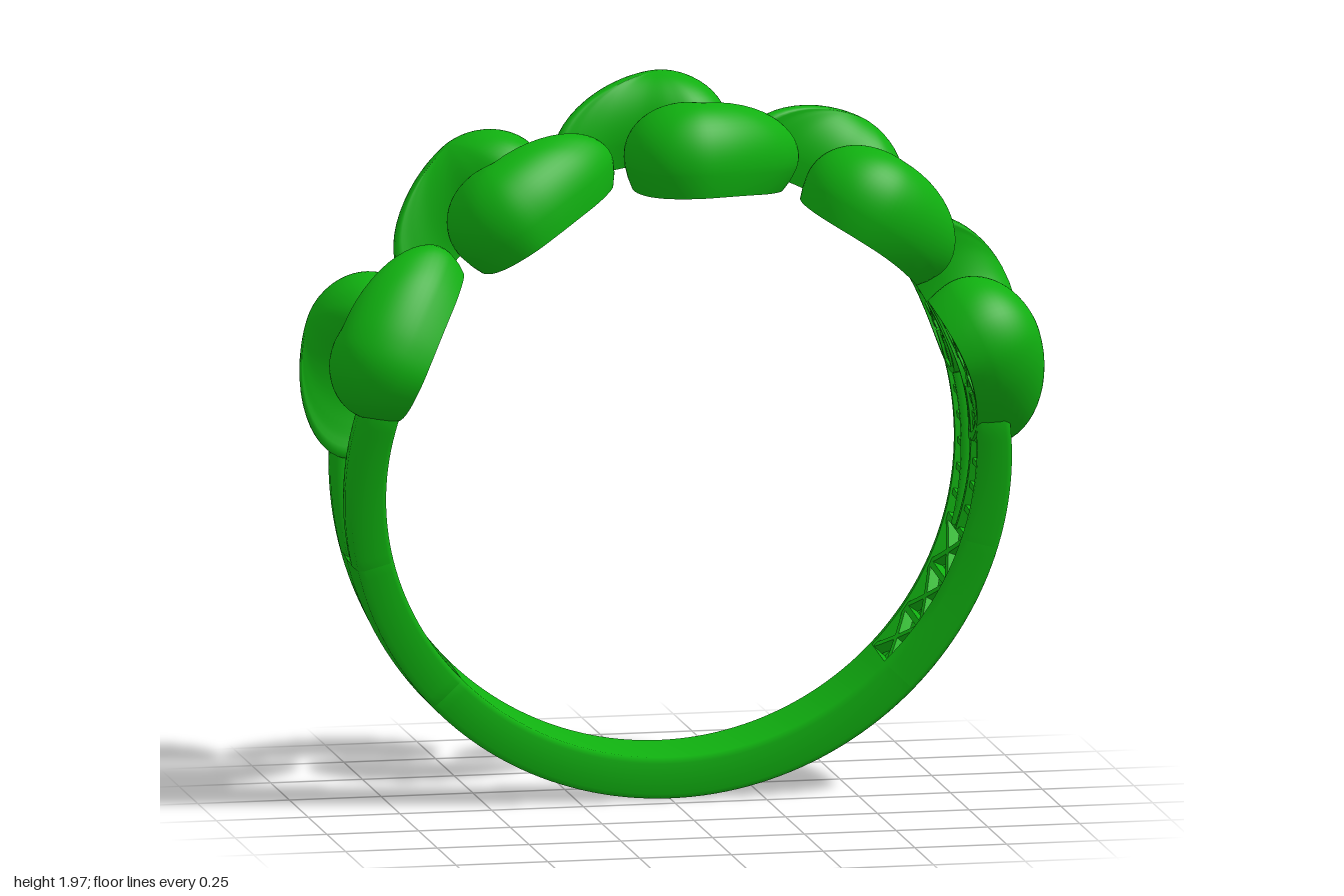
import * as THREE from 'three';

const INNER = 0.805;                       // finger radius
const CENTRE_Y = 0.93, TILT = 0.095;
const SPLIT = 1.3;                         // angle from the bottom where the band forks
const mat = new THREE.MeshStandardMaterial({ color: 0x10b010 });

// Ring coordinates: a = angle from the top, r = radius, w = across the band
const wrap = (a, r, w) => [r * Math.sin(a), r * Math.cos(a), w];
const outerRadius = a => 0.905 - 0.02 * Math.cos(a);
const halfWidth = a => {
  const t = Math.abs(Math.PI - a);
  return 0.098 + 0.02 * t ** 2 + 0.004 * t ** 4;
};
const halfGap = a => Math.min(0.07, 0.13 * Math.max(0, Math.PI - a - SPLIT));

function add(parent, name, geometry) {
  const mesh = new THREE.Mesh(geometry, mat);
  mesh.name = name;
  parent.add(mesh);
  return mesh;
}

// Skin a list of closed loops of [a, r, w]; repeated points or loops make sharp edges
function skin(loops, caps = false) {
  const n = loops[0].length, pos = [], idx = [];
  for (const loop of loops) for (const p of loop) pos.push(...wrap(...p));
  for (let j = 0; j < loops.length - 1; j++) {
    for (let i = 0; i < n; i++) {
      const p = j * n + i, q = j * n + (i + 1) % n;
      idx.push(p, q, p + n, q, q + n, p + n);
    }
  }
  if (caps) {
    [loops[0], loops[loops.length - 1]].forEach((loop, end) => {
      const base = pos.length / 3;
      for (const p of loop) pos.push(...wrap(...p));
      const flat = loop.map(p => new THREE.Vector2(p[1], p[2]));
      for (const [x, y, z] of THREE.ShapeUtils.triangulateShape(flat, [])) {
        if (end) idx.push(base + x, base + y, base + z);
        else idx.push(base + x, base + z, base + y);
      }
    });
  }
  const g = new THREE.BufferGeometry();
  g.setAttribute('position', new THREE.Float32BufferAttribute(pos, 3));
  g.setIndex(idx);
  g.computeVertexNormals();
  return g;
}

// Band cross-section between w0 and w1, optionally with a channel on the finger side
function section(a, w0, w1, hollow) {
  const b = 0.014, t = 0.03, ro = outerRadius(a), ri = INNER, rf = INNER + 0.05;
  const pts = [
    [ri + b, w0], [ro - 0.022, w0], [ro - 0.006, w0 + b], [ro, (w0 + w1) / 2],
    [ro - 0.006, w1 - b], [ro - 0.022, w1], [ri + b, w1], [ri, w1 - b],
  ];
  if (hollow) {
    for (const p of [[ri, w1 - t], [rf, w1 - t], [rf, w0 + t], [ri, w0 + t]]) pts.push(p, [...p]);
  }
  pts.push([ri, w0 + b]);
  return pts.map(([r, w]) => [a, r, w]);
}

function sweep(a0, a1, steps, range, hollow) {
  const loops = [];
  for (let i = 0; i <= steps; i++) {
    const a = a0 + (a1 - a0) * i / steps;
    loops.push(section(a, ...range(a), hollow));
  }
  return skin(loops, true);
}

// Thin lattice bar lying on the finger surface between two (a, w) points
function bar(parent, a0, w0, a1, w1) {
  const ds = (a1 - a0) * INNER, dw = w1 - w0;
  const g = new THREE.BoxGeometry(Math.hypot(ds, dw), 0.03, 0.016, 4, 1, 1);
  g.rotateY(-Math.atan2(dw, ds));
  const p = g.attributes.position;
  for (let i = 0; i < p.count; i++) {
    p.setXYZ(i, ...wrap((a0 + a1) / 2 + p.getX(i) / INNER, INNER + 0.022 + p.getY(i), (w0 + w1) / 2 + p.getZ(i)));
  }
  g.computeVertexNormals();
  add(parent, 'latticeBar', g);
}

// Curved teardrop outline (a, w), round head to narrow tail
const HEAD = [0.02, 0.16];
const outline = new THREE.CatmullRomCurve3([
  [-0.19, 0.13], [-0.165, 0.05], [-0.09, 0.012], [0, 0.025], [0.1, 0.055], [0.2, 0.06], [0.3, 0.043],
  [0.37, 0.028], [0.372, 0.06], [0.31, 0.145], [0.22, 0.215], [0.1, 0.275], [0, 0.295], [-0.1, 0.27], [-0.165, 0.21],
].map(([a, w]) => new THREE.Vector3(a, w, 0)), true).getSpacedPoints(72).slice(0, -1);
const scaled = s => outline.map(p => [HEAD[0] + (p.x - HEAD[0]) * s, HEAD[1] + (p.y - HEAD[1]) * s]);

function petal(shift) {
  const group = new THREE.Group();
  group.name = 'petal';
  // Domed shell: outer dome, wall, rim, then the hollow underside
  const rows = [], steps = 16, rim = 0.86;
  const angle = i => Math.max(0.002, i / steps * Math.PI / 2);
  for (let i = 0; i <= steps; i++) rows.push([Math.sin(angle(i)), 0.87 + 0.163 * Math.cos(angle(i))]);
  rows.push([0.985, 0.835], [0.95, INNER], [0.95, INNER], [rim, INNER], [rim, INNER]);
  for (let i = steps; i >= 0; i--) rows.push([rim * Math.sin(angle(i)), 0.85 + 0.13 * Math.cos(angle(i))]);
  add(group, 'petalShell', skin(rows.map(([s, r]) => scaled(s).map(([a, w]) => [a + shift, r, w]))));

  // Diagonal lattice clipped to the rim
  const edge = scaled(0.89).map(([a, w]) => [a * INNER, w]);
  for (const side of [1, -1]) {
    const k = Math.SQRT1_2;
    const local = edge.map(([s, w]) => [(s + side * w) * k, (w * side - s) * k]);
    const ys = local.map(p => p[1]);
    const lo = Math.min(...ys), hi = Math.max(...ys);
    const count = Math.round((hi - lo) / 0.075);
    for (let c = 0; c < count; c++) {
      const y = lo + (hi - lo) * (c + 0.5) / count, hits = [];
      local.forEach((p, i) => {
        const q = local[(i + 1) % local.length];
        if ((p[1] - y) * (q[1] - y) < 0) hits.push(p[0] + (q[0] - p[0]) * (y - p[1]) / (q[1] - p[1]));
      });
      const ends = [Math.min(...hits), Math.max(...hits)]
        .map(x => [(x - y) * k / INNER + shift, (x + y) * k * side]);
      bar(group, ...ends[0], ...ends[1]);
    }
  }
  return group;
}

// One half: a row of petals on the front and the forked shank on the left
function half(name) {
  const group = new THREE.Group();
  group.name = name;
  for (let i = -2; i <= 2; i++) group.add(petal(i * 0.584));

  const fork = Math.PI - SPLIT, solid = Math.PI - 0.8;
  add(group, 'shankChannel', sweep(fork, solid, 16, a => [-halfWidth(a), halfWidth(a)], true));
  add(group, 'frontRail', sweep(1.32, fork, 18, a => [halfGap(a), halfWidth(Math.max(a, 1.45))], true));
  add(group, 'backRail', sweep(1.22, fork, 20, a => [-halfWidth(Math.max(a, 1.35)), -halfGap(a)], true));

  // Crossed bars below the fork, rungs above it
  const cells = 3;
  for (let i = 0; i < cells; i++) {
    const a0 = fork + (solid - fork) * i / cells, a1 = fork + (solid - fork) * (i + 1) / cells;
    const h0 = halfWidth(a0) - 0.022, h1 = halfWidth(a1) - 0.022;
    bar(group, a0, -h0, a1, h1);
    bar(group, a0, h0, a1, -h1);
    bar(group, a0, -h0, a0, h0);
  }
  for (let a = fork - 0.08; a > 1.4; a -= 0.085) {
    for (const s of [1, -1]) bar(group, a, s * (halfGap(a) + 0.02), a, s * (halfWidth(a) - 0.02));
  }
  return group;
}

export function createModel() {
  const model = new THREE.Group();
  model.name = 'ring';
  const ring = new THREE.Group();
  ring.name = 'tiltedRing';
  ring.position.set(0, CENTRE_Y, -0.067);
  ring.rotation.x = TILT;
  model.add(ring);

  add(ring, 'lowerBand', sweep(Math.PI - 0.8, Math.PI + 0.8, 48, a => [-halfWidth(a), halfWidth(a)], false));
  ring.add(half('frontHalf'));
  const back = half('backHalf');
  back.rotation.y = Math.PI;
  ring.add(back);
  return model;
}
